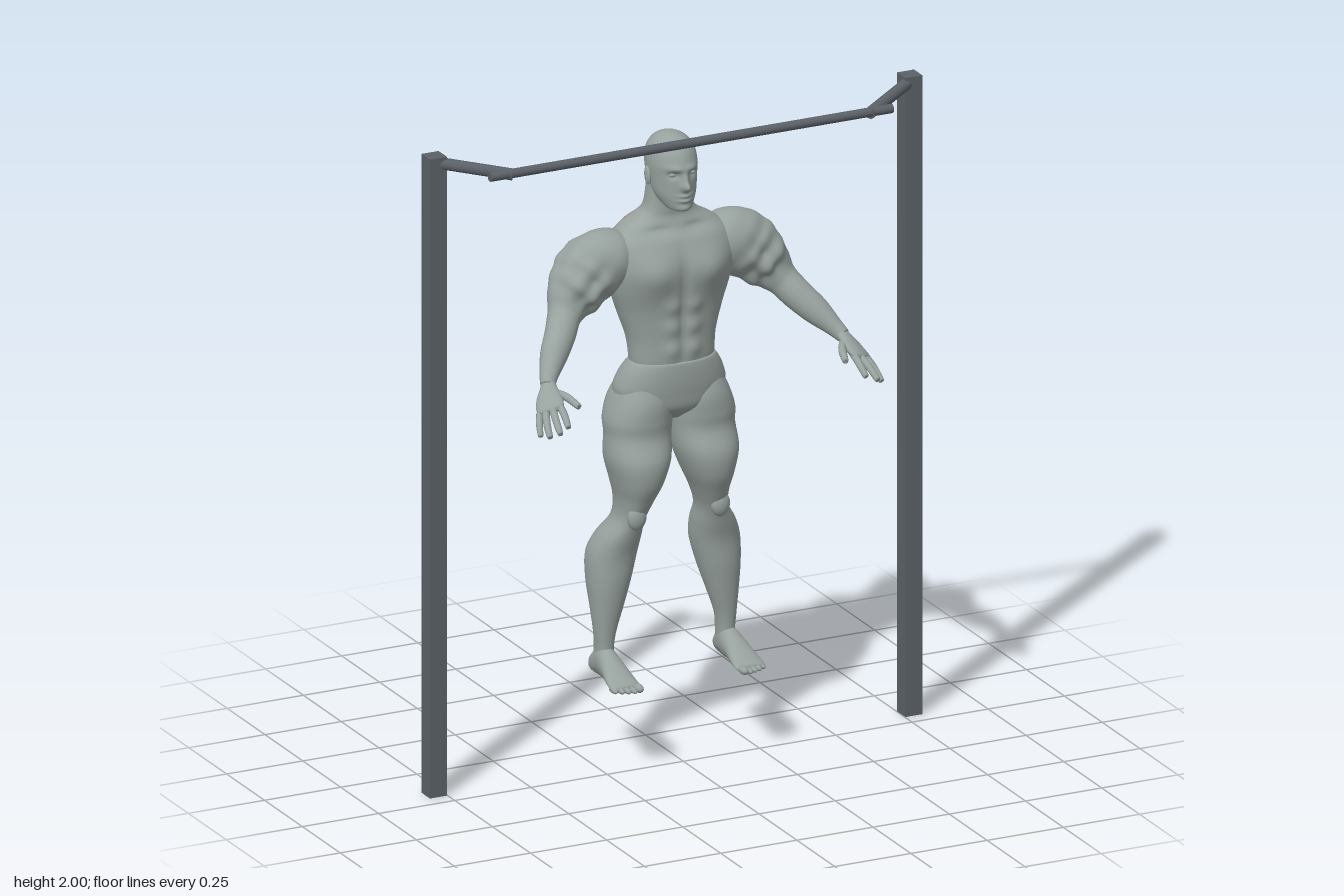
import * as THREE from 'three';

const mat = (name, color) => Object.assign(new THREE.MeshStandardMaterial({ color }), { name });
const V = (x, y, z) => new THREE.Vector3(x, y, z);
const X = V(1, 0, 0), Y = V(0, 1, 0), Z = V(0, 0, 1);
const bell = (d, w) => Math.exp(-(d * d) / (w * w));

// Smooth skin through elliptical sections [x, y, z, radiusAlongRef, otherRadius]
function loft(rows, { axis, ref = X, power = 1, n = 40, steps = 6, deform, pick } = {}) {
  const path = new THREE.CatmullRomCurve3(rows.map(r => V(r[0], r[1], r[2])), false, 'catmullrom');
  const size = new THREE.CatmullRomCurve3(rows.map(r => V(r[3], r[4], 0)), false, 'catmullrom');
  const m = (rows.length - 1) * steps, pts = [];
  const bend = a => Math.sign(a) * Math.abs(a) ** power;
  for (let i = 0; i <= m; i++) {
    const c = path.getPoint(i / m), s = size.getPoint(i / m);
    const t = axis ? axis : path.getTangent(i / m);
    const side = ref.clone().addScaledVector(t, -ref.dot(t)).normalize();
    const up = t.clone().cross(side);
    for (let j = 0; j < n; j++) {
      const a = (j / n) * Math.PI * 2;
      const p = c.clone().addScaledVector(side, s.x * bend(Math.cos(a))).addScaledVector(up, s.y * bend(Math.sin(a)));
      if (deform) deform(p);
      pts.push(p);
    }
  }
  const first = pts.push(path.getPoint(0)) - 1, last = pts.push(path.getPoint(1)) - 1;
  const tris = [];
  for (let j = 0; j < n; j++) {
    const k = (j + 1) % n;
    tris.push([first, k, j], [last, m * n + j, m * n + k]);
    for (let i = 0; i < m; i++) {
      const a = i * n + j, b = i * n + k;
      tris.push([a, b, a + n], [b, b + n, a + n]);
    }
  }
  const geo = new THREE.BufferGeometry().setFromPoints(pts);
  if (pick) {
    // Sort faces into one group per colour
    const sets = [[], [], [], []];
    for (const t of tris) {
      const c = V(0, 0, 0);
      t.forEach(i => c.addScaledVector(pts[i], 1 / 3));
      sets[pick(c)].push(...t);
    }
    let start = 0;
    sets.forEach((s, i) => { geo.addGroup(start, s.length, i); start += s.length; });
    geo.setIndex(sets.flat());
  } else geo.setIndex(tris.flat());
  geo.computeVertexNormals();
  return geo;
}

// Mirror a geometry across x = 0, keeping its faces outward
function mirrored(geo) {
  const g = geo.clone().scale(-1, 1, 1);
  if (g.index) {
    const a = g.index.array;
    for (let i = 0; i < a.length; i += 3) [a[i], a[i + 1]] = [a[i + 1], a[i]];
  }
  g.computeVertexNormals();
  return g;
}

// Section limits to section centre and radii
const level = ([y, x0, x1, z0, z1]) => [(x0 + x1) / 2, y, (z0 + z1) / 2, (x1 - x0) / 2, (z1 - z0) / 2];
const even = ([y, w, z0, z1]) => level([y, -w, w, z0, z1]);
const along = ([z, x0, x1, y0, y1]) => [(x0 + x1) / 2, (y0 + y1) / 2, z, (x1 - x0) / 2, (y1 - y0) / 2];

// Highlighted back muscles: 0 skin, 1 and 2 fading edge, 3 full
function backColour(p) {
  const t = Math.min(1, Math.max(0, (p.y - 1.28) / 0.32));
  const f = Math.min((0.13 + 0.12 * t - Math.abs(p.x)) / 0.045, (p.y - 1.26) / 0.035,
    (1.685 - p.y) / 0.03, (-0.135 - 0.02 * t - p.z) / 0.025);
  return f < 0 ? 0 : f < 0.5 ? 1 : f < 1 ? 2 : 3;
}

export function createModel() {
  const model = new THREE.Group();
  const skin = mat('skin grey', 0x97a19e), steel = mat('steel grey', 0x5b6167);
  const tones = [skin, mat('pale red', 0xae8680), mat('soft red', 0xc96a60), mat('muscle red', 0xd9483b)];
  const add = (name, geo, m = skin) => {
    const mesh = new THREE.Mesh(geo, m);
    mesh.name = name;
    model.add(mesh);
  };
  const pair = (name, geo, m = skin) => {
    add('left' + name, geo, m);
    add('right' + name, mirrored(geo), m);
  };

  // Pull-up frame
  const rod = (a, b, r) => {
    const g = new THREE.CylinderGeometry(r, r, a.distanceTo(b), 16);
    g.applyQuaternion(new THREE.Quaternion().setFromUnitVectors(Y, b.clone().sub(a).normalize()));
    return g.translate((a.x + b.x) / 2, (a.y + b.y) / 2, (a.z + b.z) / 2);
  };
  const post = x => new THREE.BoxGeometry(0.056, 2, 0.056).translate(x, 1, -0.075);
  add('leftPost', post(0.78), steel);
  add('rightPost', post(-0.78), steel);
  add('pullUpBar', rod(V(-0.66, 1.953, 0.05), V(0.66, 1.953, 0.05), 0.014), steel);
  pair('Bracket', rod(V(0.785, 1.98, -0.075), V(0.585, 1.95, 0.052), 0.018), steel);

  // Torso with chest, stomach and back muscles
  const torso = [
    [1.2, 0.125, -0.155, -0.01], [1.25, 0.132, -0.16, 0], [1.32, 0.14, -0.17, 0], [1.4, 0.165, -0.19, 0.002],
    [1.48, 0.19, -0.2, 0.01], [1.56, 0.205, -0.207, 0.008], [1.62, 0.195, -0.2, -0.01], [1.66, 0.15, -0.185, -0.035],
    [1.69, 0.1, -0.165, -0.05], [1.72, 0.075, -0.155, -0.05], [1.79, 0.066, -0.15, -0.05],
  ].map(even);
  add('torso', loft(torso, {
    axis: Y, power: 0.88, n: 112, steps: 11, pick: backColour,
    deform: p => {
      const x = Math.abs(p.x);
      if (p.z < -0.1) {
        const k = Math.min(1, (-0.1 - p.z) / 0.06), h = bell(p.y - 1.53, 0.17);
        p.z += k * h * (0.036 * bell(x, 0.03) - 0.034 * bell(x - 0.075, 0.055));
      } else {
        const k = Math.min(1, (p.z + 0.1) / 0.06);
        p.z += k * 0.024 * bell(x - 0.09, 0.07) * bell(p.y - 1.535, 0.06);
        p.z -= k * 0.008 * bell(x, 0.012) * bell(p.y - 1.42, 0.16);
        for (const y of [1.29, 1.36, 1.425]) p.z += k * 0.009 * bell(x - 0.035, 0.025) * bell(p.y - y, 0.026);
        p.z -= k * 0.01 * bell(x - 0.06, 0.05) * bell(p.y - 1.655, 0.016);
      }
    },
  }), tones);

  // Hips
  add('hips', loft([
    [1.25, 0.12, -0.15, 0.0], [1.245, 0.138, -0.165, 0.008], [1.2, 0.165, -0.19, 0.01], [1.15, 0.175, -0.2, 0.006],
    [1.1, 0.14, -0.18, -0.005], [1.06, 0.04, -0.12, -0.05],
  ].reverse().map(even), {
    axis: Y, power: 0.9, n: 64,
    deform: p => {
      if (p.z < -0.1) p.z += (0.035 * bell(p.x, 0.025) - 0.012 * bell(Math.abs(p.x) - 0.08, 0.05)) * bell(p.y - 1.14, 0.06);
    },
  }));

  // Legs
  pair('Leg', loft([
    [0.285, 0.172, 0.23, -0.165, -0.08], [0.34, 0.172, 0.226, -0.162, -0.09], [0.4, 0.165, 0.23, -0.16, -0.086],
    [0.48, 0.14, 0.238, -0.18, -0.075], [0.56, 0.115, 0.245, -0.205, -0.065], [0.64, 0.095, 0.243, -0.215, -0.06],
    [0.7, 0.09, 0.22, -0.195, -0.045], [0.76, 0.09, 0.182, -0.16, -0.028], [0.82, 0.07, 0.177, -0.163, -0.002],
    [0.88, 0.042, 0.19, -0.18, 0.024], [0.95, 0.016, 0.206, -0.195, 0.03], [1.02, 0.006, 0.203, -0.193, 0.005],
    [1.07, 0.001, 0.204, -0.203, 0.006], [1.13, 0.004, 0.185, -0.205, 0.004], [1.2, 0.03, 0.15, -0.17, -0.02],
  ].map(level), { axis: Y, power: 0.92 }));
  const knee = new THREE.SphereGeometry(1, 20, 14).scale(0.03, 0.04, 0.022).translate(0.137, 0.775, -0.032);
  pair('Kneecap', knee);

  // Feet and toes
  pair('Foot', loft([
    [-0.176, 0.195, 0.215, 0.275, 0.3], [-0.165, 0.178, 0.23, 0.263, 0.325], [-0.12, 0.17, 0.232, 0.26, 0.36],
    [-0.06, 0.165, 0.24, 0.262, 0.34], [0, 0.158, 0.25, 0.262, 0.303], [0.035, 0.158, 0.25, 0.262, 0.285],
    [0.042, 0.175, 0.23, 0.267, 0.275],
  ].map(along), { axis: Z }));
  for (let i = 0; i < 5; i++) {
    const r = i ? 0.009 : 0.013;
    pair('Toe' + (i + 1), new THREE.SphereGeometry(1, 14, 10).scale(r, r, 0.024)
      .translate(0.172 + i * 0.0175, 0.261 + r, 0.05 - i * i * 0.0015));
  }

  // Arms with bunched shoulder muscles
  pair('Arm', loft([
    [0.12, 1.57, -0.11, 0.04, 0.04], [0.16, 1.575, -0.11, 0.08, 0.08], [0.215, 1.565, -0.11, 0.098, 0.09],
    [0.27, 1.53, -0.108, 0.1, 0.088], [0.32, 1.475, -0.095, 0.08, 0.074], [0.355, 1.432, -0.07, 0.052, 0.052],
    [0.39, 1.388, -0.03, 0.047, 0.046], [0.43, 1.345, 0.01, 0.042, 0.04], [0.465, 1.305, 0.05, 0.029, 0.029],
    [0.485, 1.28, 0.08, 0.022, 0.021],
  ], {
    ref: V(0.7, 0.7, 0), n: 64, steps: 9, pick: backColour,
    deform: p => {
      const k = bell(p.x - 0.29, 0.07) * bell(p.y - 1.52, 0.1);
      const w = Math.sin(p.x * 75 + p.z * 30) * Math.sin(p.y * 68 + 1) + Math.sin(p.z * 80 + p.y * 40) * 0.6;
      const c = V(0.27, 1.52, -0.105), out = p.clone().sub(c).normalize();
      p.addScaledVector(out, 0.011 * k * w);
    },
  }), tones);

  // Hands
  const across = V(0.85, -0.5, 0);
  pair('Palm', loft([
    [0.478, 1.288, 0.068, 0.02, 0.02], [0.487, 1.275, 0.09, 0.027, 0.018], [0.499, 1.252, 0.12, 0.04, 0.017],
    [0.51, 1.234, 0.148, 0.041, 0.014], [0.513, 1.228, 0.157, 0.025, 0.008],
  ], { ref: across, n: 28 }));
  const fingers = [
    ['Thumb', [0.475, 1.267, 0.1], [0.452, 1.26, 0.14], [0.438, 1.245, 0.188], 0.012],
    ['IndexFinger', [0.482, 1.25, 0.14], [0.484, 1.228, 0.185], [0.488, 1.2, 0.222], 0.011],
    ['MiddleFinger', [0.503, 1.24, 0.145], [0.514, 1.213, 0.195], [0.52, 1.188, 0.234], 0.011],
    ['RingFinger', [0.522, 1.228, 0.142], [0.537, 1.2, 0.182], [0.543, 1.174, 0.213], 0.011],
    ['LittleFinger', [0.537, 1.22, 0.132], [0.549, 1.194, 0.155], [0.555, 1.167, 0.175], 0.01],
  ];
  for (const [name, a, b, c, r] of fingers) {
    const tip = c.map((v, i) => v + (v - b[i]) * 0.08);
    pair(name, loft([[...a, r, r], [...b, r, r], [...c, r * 0.8, r * 0.8], [...tip, r * 0.3, r * 0.3]], { ref: across, n: 14, steps: 4 }));
  }

  // Head with brow, eye sockets, nose and mouth
  add('head', loft([
    [1.722, 0.02, -0.06, 0.0], [1.73, 0.038, -0.085, 0.012], [1.755, 0.055, -0.125, 0.014], [1.78, 0.065, -0.148, 0.013],
    [1.82, 0.071, -0.17, 0.012], [1.86, 0.074, -0.178, 0.012], [1.9, 0.068, -0.17, -0.002], [1.928, 0.049, -0.147, -0.028],
    [1.942, 0.025, -0.117, -0.058], [1.946, 0.006, -0.095, -0.08],
  ].map(even), {
    axis: Y, n: 112, steps: 9,
    deform: p => {
      if (p.z < -0.06) return;
      const x = Math.abs(p.x);
      p.z += 0.026 * bell(x, 0.013) * bell(p.y - 1.803, 0.014) + 0.014 * bell(x, 0.01) * bell(p.y - 1.825, 0.02);
      p.z += 0.007 * bell(x - 0.025, 0.026) * bell(p.y - 1.858, 0.01) - 0.011 * bell(x - 0.031, 0.015) * bell(p.y - 1.838, 0.011);
      p.z += 0.008 * bell(x, 0.02) * (bell(p.y - 1.774, 0.006) + bell(p.y - 1.759, 0.006));
      p.z += 0.006 * bell(x, 0.02) * bell(p.y - 1.735, 0.01);
    },
  }));
  pair('Eye', new THREE.SphereGeometry(1, 16, 12).scale(0.012, 0.007, 0.008).translate(0.031, 1.838, -0.008));
  pair('Ear', new THREE.SphereGeometry(1, 16, 12).scale(0.008, 0.029, 0.016).rotateX(-0.15).translate(0.075, 1.82, -0.085));
  return model;
}
